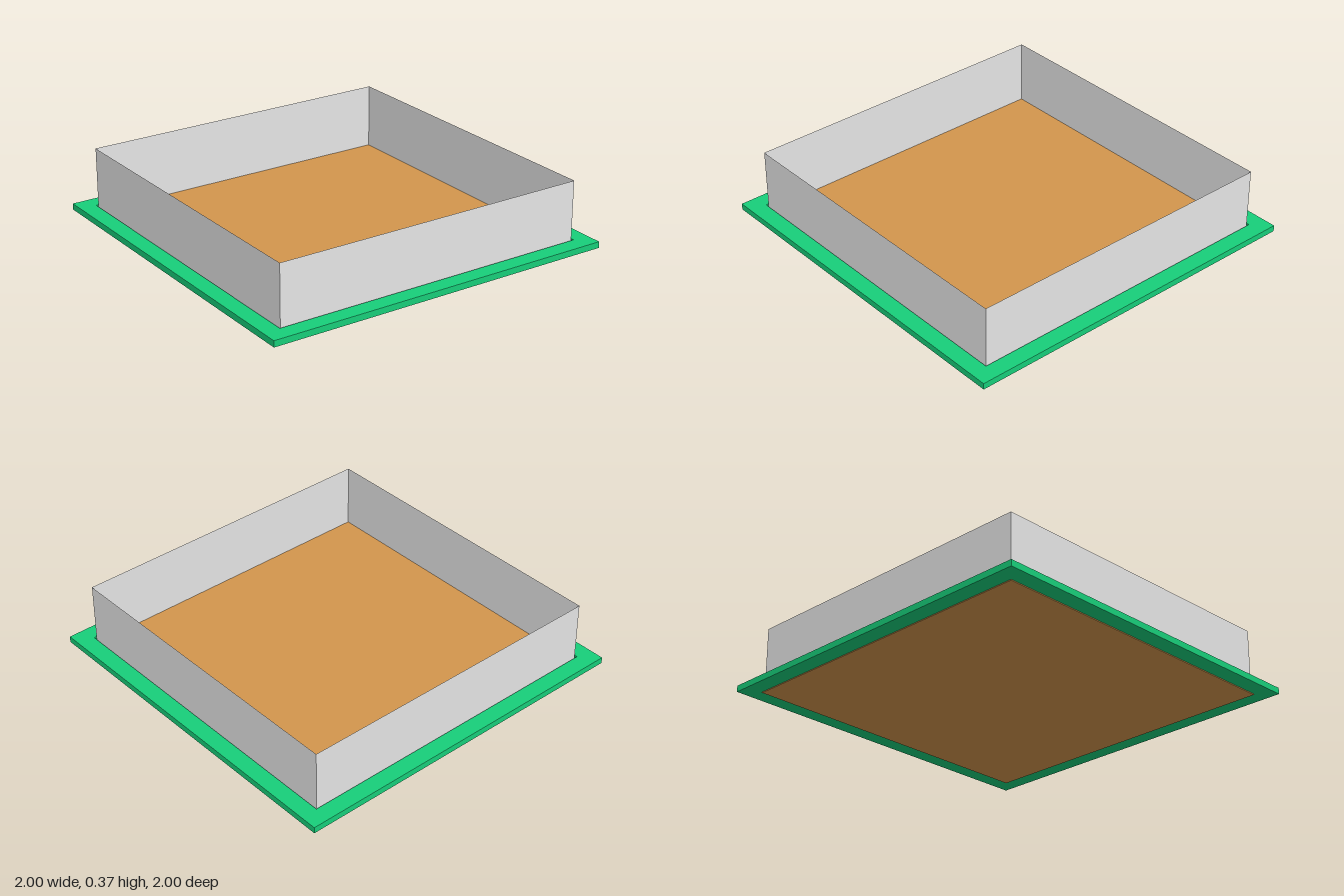
import * as THREE from 'three';

const material = (name, color, side = THREE.FrontSide) =>
  Object.assign(new THREE.MeshStandardMaterial({ color, side }), { name });

export function createModel() {
  const model = new THREE.Group();
  model.name = 'walledPlatform';
  const green = material('green', 0x17cf7a);
  const brown = material('brown', 0xd3964d);
  const grey = material('grey', 0xe6e6e6, THREE.DoubleSide);

  const add = (parent, name, geometry, mat) => {
    const mesh = new THREE.Mesh(geometry, mat);
    mesh.name = name;
    parent.add(mesh);
    return mesh;
  };

  // Square border standing around the sunken floor
  const inner = 0.907;
  const square = (Type, h) => new Type([[-h, -h], [h, -h], [h, h], [-h, h]]
    .map(([x, y]) => new THREE.Vector2(x, y)));
  const outline = square(THREE.Shape, 1);
  outline.holes.push(square(THREE.Path, inner));
  const borderGeometry = new THREE.ExtrudeGeometry(outline, { depth: 0.035, bevelEnabled: false });
  borderGeometry.rotateX(-Math.PI / 2);
  add(model, 'border', borderGeometry, green).position.y = 0.005;

  // Thin floor sheet, just below the border
  const floorTop = 0.005;
  add(model, 'floor', new THREE.BoxGeometry(inner * 2, floorTop, inner * 2), brown)
    .position.y = floorTop / 2;

  // Four sheet-thin walls rising from the floor, open at the top
  const walls = new THREE.Group();
  walls.name = 'walls';
  const wallTop = 0.369, half = 0.898;
  const wallGeometry = new THREE.PlaneGeometry(half * 2, wallTop - floorTop)
    .translate(0, (wallTop + floorTop) / 2, half);
  ['frontWall', 'leftWall', 'backWall', 'rightWall'].forEach((name, i) => {
    add(walls, name, wallGeometry, grey).rotation.y = i * Math.PI / 2;
  });
  model.add(walls);

  return model;
}
